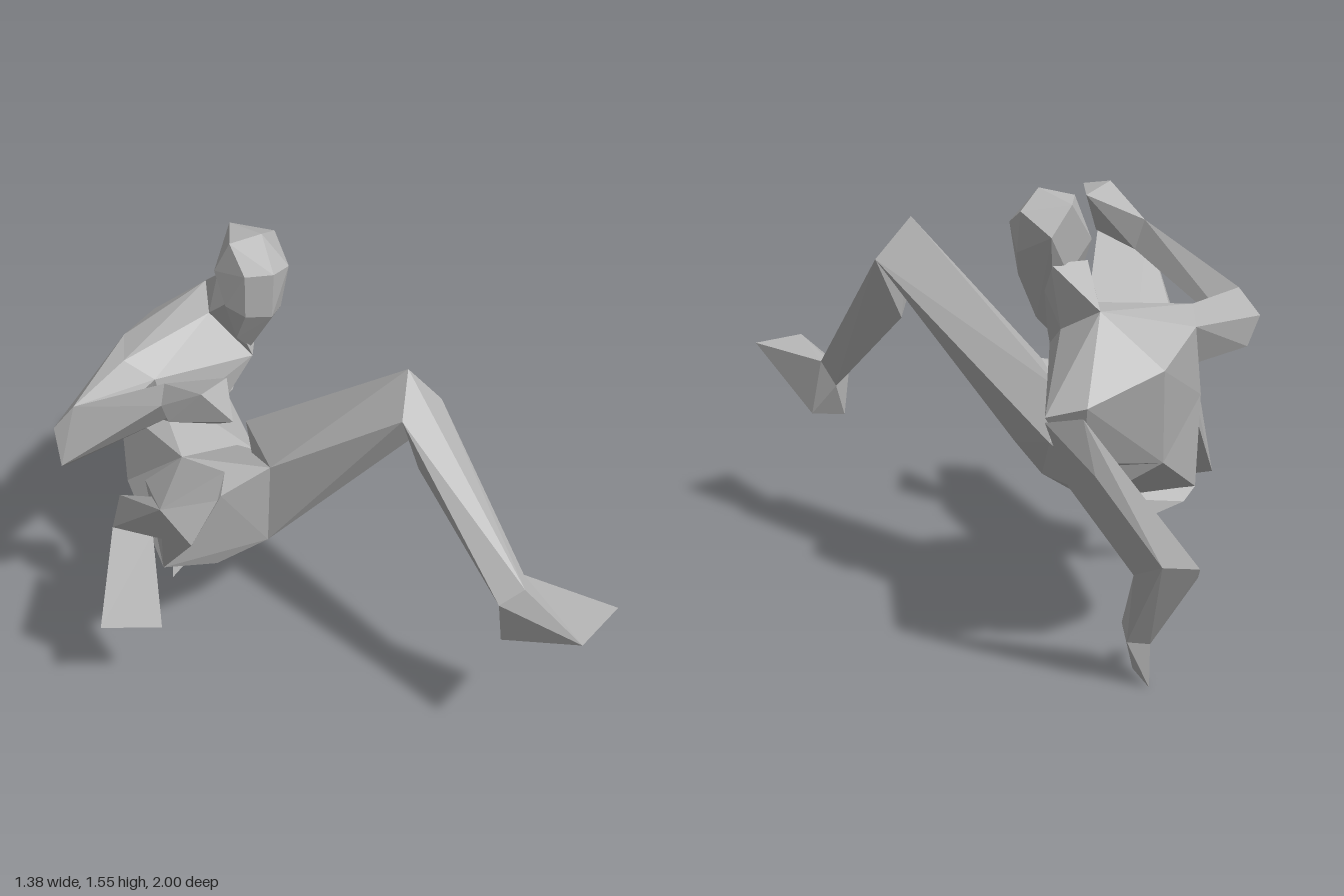
import * as THREE from 'three';
import { ConvexGeometry } from 'three/addons/geometries/ConvexGeometry.js';

const grey = new THREE.MeshStandardMaterial({ color: 0xb8b8b8, flatShading: true });
grey.name = 'grey';

// Faceted body part stretched over joint rings that neighbouring parts share
function part(name, ...rings) {
  const pts = rings.flat().map(p => new THREE.Vector3(...p));
  const mesh = new THREE.Mesh(new ConvexGeometry(pts), grey);
  mesh.name = name;
  return mesh;
}

export function createModel() {
  const model = new THREE.Group();
  model.name = 'crouchingFigure';

  // Joint rings of the trunk
  const lap = [[-0.22, 0.85, -0.08], [-0.03, 0.895, -0.09]];
  const hips = [[0.08, 0.72, -0.42], [-0.24, 0.85, -0.34], [0.05, 0.64, -0.73], [-0.33, 0.59, -0.63]];
  const waist = [[-0.05, 0.84, -0.5], [-0.23, 0.92, -0.46], [0.13, 0.76, -0.76], [-0.12, 0.76, -0.82], [-0.33, 0.9, -0.65]];
  const neckBase = [[0, 1.215, -0.6], [0.13, 1.15, -0.62], [0.07, 1.235, -0.77], [0.11, 1.07, -0.49]];
  const rightShoulder = [[-0.27, 1.14, -0.72], [-0.35, 1.16, -0.54], [-0.31, 0.99, -0.62], [-0.27, 1.1, -0.47], [-0.27, 1.02, -0.5]];
  const leftShoulder = [[0.275, 0.945, -0.845], [0.19, 0.97, -0.925], [0.18, 0.72, -0.8], [0.15, 0.79, -0.925]];

  // Joint rings of the arms
  const rightElbow = [[-0.6, 1.15, -0.38], [-0.66, 1.06, -0.42], [-0.69, 1.0, -0.29], [-0.65, 0.96, -0.34], [-0.6, 0.97, -0.45]];
  const rightWrist = [[-0.43, 1.3, -0.05], [-0.39, 1.335, -0.11], [-0.37, 1.23, -0.08]];
  const leftElbow = [[-0.04, 0.5, -0.99], [-0.16, 0.48, -1.0], [-0.18, 0.43, -0.95], [-0.13, 0.48, -0.86], [0.0, 0.44, -0.88]];
  const leftWrist = [[-0.11, 0.2, -0.69], [-0.04, 0.21, -0.72], [-0.03, 0.17, -0.78], [-0.1, 0.16, -0.8]];

  // Joint rings of the legs
  const leftKnee = [[0.32, 1.345, 0.19], [0.44, 1.205, 0.21], [0.25, 1.22, 0.28]];
  const leftAnkle = [[0.485, 0.74, 0.69], [0.52, 0.745, 0.63], [0.41, 0.68, 0.66], [0.47, 0.65, 0.62]];
  const rightKnee = [[-0.605, 1.2, 0.31], [-0.45, 1.23, 0.385], [-0.53, 1.07, 0.36]];
  const rightAnkle = [[-0.545, 0.72, -0.25], [-0.51, 0.68, -0.29], [-0.43, 0.7, -0.18], [-0.48, 0.78, -0.33]];

  // Trunk
  model.add(
    part('pelvis', lap, hips,
      [[-0.19, 0.47, -0.19], [0, 0.52, -0.17], [-0.41, 0.565, -0.15], [-0.07, 0.535, -0.72], [-0.26, 0.57, -0.69]]),
    part('abdomen', hips, waist),
    part('chest', waist, neckBase, rightShoulder,
      [[-0.07, 1.08, -0.915], [0.18, 1.0, -0.93], [0.275, 0.96, -0.845], [0.15, 0.8, -0.84]]),
  );

  // Neck and head
  model.add(
    part('neck', neckBase, [[0.02, 1.3, -0.5], [0.17, 1.3, -0.54], [0.04, 1.35, -0.61], [0.16, 1.35, -0.61]]),
    part('head',
      [[0.035, 1.525, -0.5], [0.14, 1.55, -0.47], [0.23, 1.5, -0.55], [0.1, 1.525, -0.63]],
      [[0.045, 1.44, -0.41], [0.13, 1.45, -0.365], [0.21, 1.44, -0.41], [0.23, 1.37, -0.52], [0.18, 1.44, -0.665], [0.005, 1.4, -0.56]],
      [[0.05, 1.28, -0.42], [0.13, 1.28, -0.38], [0.19, 1.28, -0.43], [0.1, 1.31, -0.605], [0.015, 1.29, -0.5]],
      [[0.105, 1.1, -0.5], [0.05, 1.16, -0.49], [0.16, 1.16, -0.5]]),
  );

  // Right arm, raised and bent forwards
  model.add(
    part('rightUpperArm', rightShoulder, rightElbow),
    part('rightForearm', rightElbow, rightWrist),
    part('rightHand', rightWrist,
      [[-0.245, 1.4, 0.04], [-0.33, 1.395, 0.255], [-0.37, 1.425, 0.12], [-0.3, 1.27, 0.08], [-0.43, 1.27, 0]]),
  );

  // Left arm, reaching behind to the ground
  model.add(
    part('leftUpperArm', leftShoulder, leftElbow),
    part('leftForearm', leftElbow, leftWrist),
    part('leftHand', leftWrist, [[-0.08, 0.045, -0.72], [-0.11, 0, -0.78], [-0.13, 0.08, -0.67]]),
    part('leftThumb', [[-0.1, 0.17, -0.72], [-0.145, 0.215, -0.68], [-0.185, 0.1, -0.6], [-0.09, 0.08, -0.68]]),
  );

  // Left leg, stretched forwards
  model.add(
    part('leftThigh', leftKnee,
      [[0.32, 1.09, 0.22], lap[1], hips[0], [0.03, 0.88, -0.39], [0, 0.52, -0.17], [0.08, 0.63, -0.13]]),
    part('leftShin', leftKnee, [[0.34, 0.985, 0.25]], leftAnkle),
    part('leftFoot', leftAnkle,
      [[0.49, 0.745, 1.0], [0.685, 0.755, 0.915], [0.43, 0.525, 0.66], [0.54, 0.53, 0.7]]),
  );

  // Right leg, folded under
  model.add(
    part('rightThigh', rightKnee,
      [lap[0], hips[1], [-0.27, 1.06, 0.06], [-0.43, 0.77, -0.08], [-0.41, 0.565, -0.15], [-0.38, 0.8, -0.34]]),
    part('rightShin', rightKnee, rightAnkle),
    part('rightFoot', rightAnkle, [[-0.665, 0.42, -0.12], [-0.47, 0.395, -0.05]]),
  );

  return model;
}
